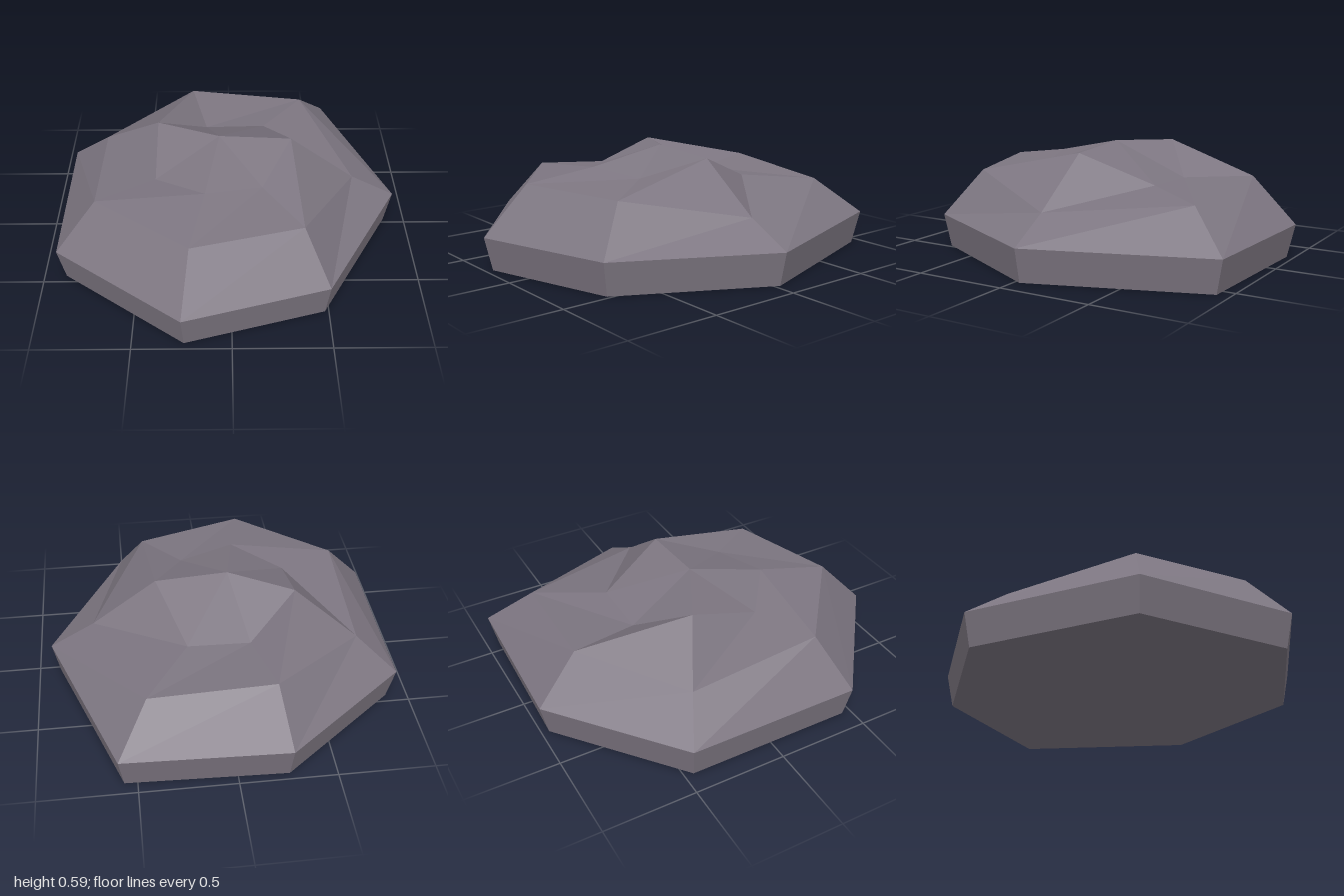
import * as THREE from 'three';

export function createModel() {
  const stone = new THREE.MeshStandardMaterial({ color: 0x7d7681, flatShading: true });
  stone.name = 'greyStone';

  // Seven-sided rings from the widest girth up to the crown
  const girth = [[0.92, -0.03], [0.5, 0.77], [-0.25, 1], [-0.92, 0.47], [-0.92, -0.47], [-0.27, -1], [0.59, -0.97]]
    .map(([x, z]) => [x, 0.18, z]);
  const foot = girth.map(([x, , z]) => [x * 0.96, 0, z * 0.96]);
  const shoulder = [
    [0.68, 0.31, -0.02], [0.37, 0.43, 0.59], [-0.21, 0.44, 0.76], [-0.71, 0.43, 0.36],
    [-0.71, 0.36, -0.36], [-0.22, 0.43, -0.77], [0.43, 0.38, -0.745],
  ];
  const crown = [
    [0.33, 0.565, -0.02], [0.165, 0.47, 0.3], [-0.135, 0.497, 0.39], [-0.4, 0.447, 0.19],
    [-0.4, 0.565, -0.19], [-0.135, 0.4, -0.4], [0.195, 0.407, -0.4],
  ];
  const peak = [-0.06, 0.587, -0.015];

  const corners = [];
  const tri = (a, b, c) => corners.push(...a, ...b, ...c);

  const rings = [foot, girth, shoulder, crown];
  for (let k = 0; k < 7; k++) {
    const n = (k + 1) % 7;
    // Bands between neighbouring rings
    for (let r = 0; r < 3; r++) {
      const low = rings[r], high = rings[r + 1];
      tri(low[k], high[k], low[n]);
      tri(low[n], high[k], high[n]);
    }
    // Top fan and flat underside
    tri(crown[k], peak, crown[n]);
    tri(foot[k], foot[n], [0, 0, 0]);
  }

  const geometry = new THREE.BufferGeometry();
  geometry.setAttribute('position', new THREE.Float32BufferAttribute(corners, 3));
  geometry.computeVertexNormals();

  const rock = new THREE.Mesh(geometry, stone);
  rock.name = 'rock';
  const group = new THREE.Group();
  group.name = 'flatRock';
  group.add(rock);
  return group;
}
